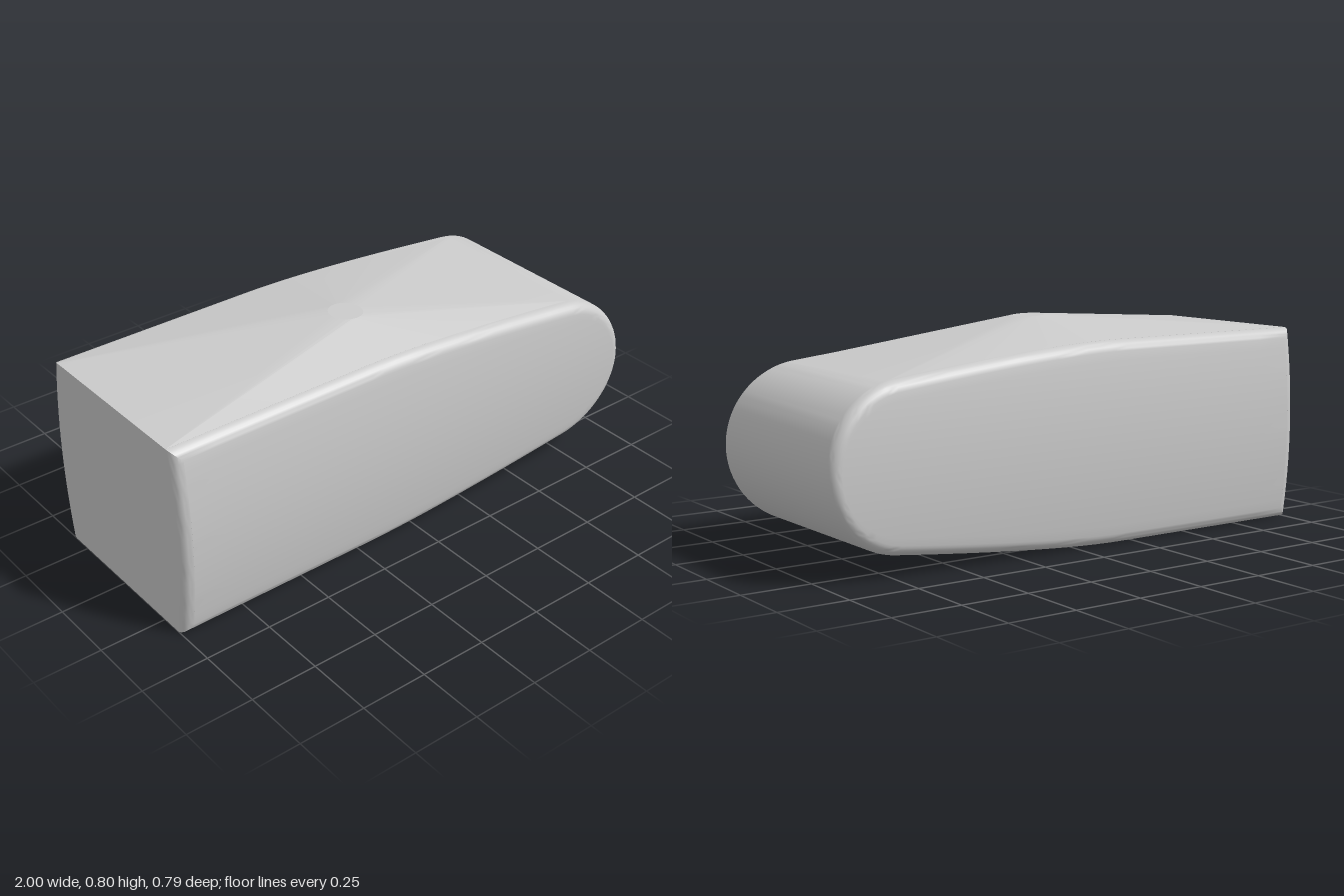
import * as THREE from 'three';
import { toCreasedNormals } from 'three/addons/utils/BufferGeometryUtils.js';
import { ConvexGeometry } from 'three/addons/geometries/ConvexGeometry.js';

const MID = 0.365;      // height of the body's axis, also half its height
const FILLET = 0.038;
const NOSE = { x: 0.71, r: 0.29 };
const material = new THREE.MeshStandardMaterial({ color: 0xcccccc });

// Half width bulges gently towards mid height
const halfWidth = (y) => 0.395 - 0.03 * ((y - MID) / MID) ** 2;

// Upper half of the side outline, tail to nose: x, height over the axis, outward normal
function upperOutline() {
  const pts = [];
  for (let i = 0; i < 8; i++) pts.push([-1, MID * i / 8, -1, 0]);
  pts.push([-1, MID, -1, 1]);
  for (let i = 1; i < 5; i++) pts.push([-1 + 0.16 * i, MID, 0, 1]);
  const a0 = THREE.MathUtils.degToRad(83);
  const joint = new THREE.Vector2(NOSE.x + NOSE.r * Math.cos(a0), NOSE.r * Math.sin(a0));
  const taper = new THREE.QuadraticBezierCurve(
    new THREE.Vector2(-0.2, MID), new THREE.Vector2(0.1, MID), joint);
  for (let i = 0; i < 12; i++) {
    const p = taper.getPoint(i / 12), t = taper.getTangent(i / 12);
    pts.push([p.x, p.y, -t.y, t.x]);
  }
  for (let i = 0; i <= 18; i++) {
    const a = a0 * (1 - i / 18), c = Math.cos(a), s = Math.sin(a);
    pts.push([NOSE.x + NOSE.r * c, NOSE.r * s, c, s]);
  }
  return pts;
}

// Rounded body: rings running from one side's centre line, over the rim, to the other
function bodyGeometry(upper) {
  const lower = upper.slice(1, -1).reverse().map(([x, y, nx, ny]) => [x, -y, nx, -ny]);
  const loop = [...upper, ...lower];
  const rows = [];
  for (let i = 0; i < 10; i++) rows.push({ scale: i / 10, angle: Math.PI / 2 });
  for (let i = 0; i <= 7; i++) rows.push({ scale: 1, angle: Math.PI / 2 * (1 - i / 7) });
  const rings = rows.map(({ scale, angle }) => loop.map(([x, y, nx, ny]) => {
    const inset = FILLET * (1 - Math.cos(angle));
    const py = MID + (y - ny * inset) * scale;
    return [x - nx * inset, py, halfWidth(py) - FILLET * (1 - Math.sin(angle))];
  }));
  const mirrored = rings.slice().reverse().map((ring) => ring.map(([x, y, z]) => [x, y, -z]));
  const all = [...rings, ...mirrored];
  const n = loop.length, index = [];
  for (let j = 0; j < all.length - 1; j++) {
    for (let i = 0; i < n; i++) {
      const a = j * n + i, b = j * n + (i + 1) % n;
      index.push(a, b, b + n, a, b + n, a + n);
    }
  }
  const geo = new THREE.BufferGeometry();
  geo.setAttribute('position', new THREE.Float32BufferAttribute(all.flat(2), 3));
  geo.setIndex(index);
  return toCreasedNormals(geo, 0.6);
}

// Low off-centre peak with a small round flat, spanning the whole top
function peakGeometry(upper) {
  const points = [];
  for (const [x, y, , ny] of upper) {
    if (ny < 0.97) continue;
    for (const side of [-1, 1]) points.push(new THREE.Vector3(x, MID + y, side * 0.33));
  }
  for (let i = 0; i < 20; i++) {
    const a = i / 20 * Math.PI * 2;
    points.push(new THREE.Vector3(
      -0.09 + 0.062 * Math.cos(a), 0.793 - 0.003 * Math.cos(a), 0.08 + 0.062 * Math.sin(a)));
  }
  return toCreasedNormals(new ConvexGeometry(points), 0.06);
}

export function createModel() {
  const group = new THREE.Group();
  const upper = upperOutline();
  const body = new THREE.Mesh(bodyGeometry(upper), material);
  body.name = 'body';
  const peak = new THREE.Mesh(peakGeometry(upper), material);
  peak.name = 'topPeak';
  group.add(body, peak);
  return group;
}
